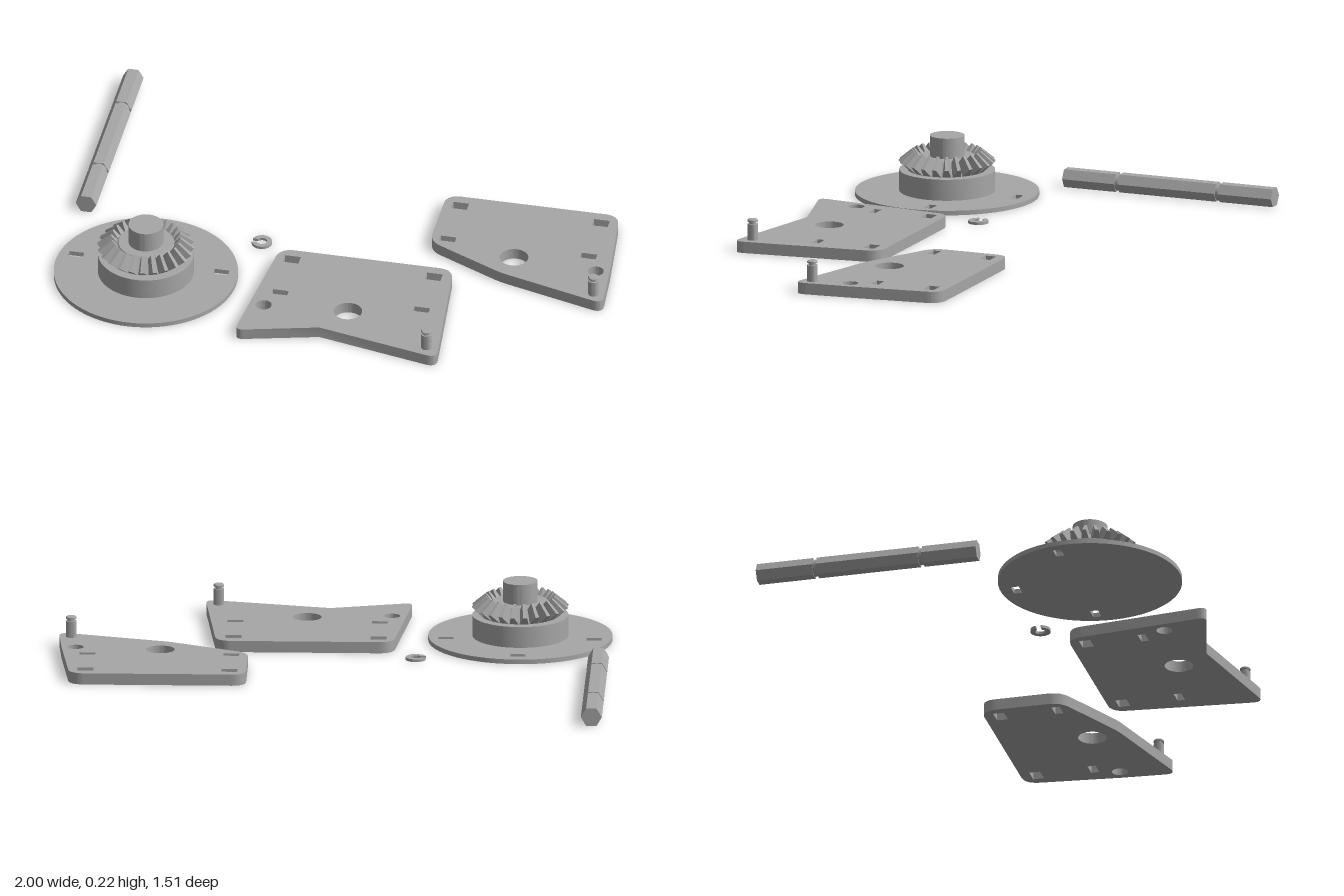
import * as THREE from 'three';
import { toCreasedNormals, mergeGeometries } from 'three/addons/utils/BufferGeometryUtils.js';
import { ConvexGeometry } from 'three/addons/geometries/ConvexGeometry.js';

const steel = new THREE.MeshStandardMaterial({ color: 0xa6a6a6 });
steel.name = 'grey steel';

function addMesh(parent, name, geometry) {
  const mesh = new THREE.Mesh(geometry, steel);
  mesh.name = name;
  parent.add(mesh);
  return mesh;
}

// Outline in the ground plane from [x, z, corner cut] entries
function roundedOutline(corners) {
  const pts = corners.map(([x, z]) => new THREE.Vector2(x, -z));
  const shape = new THREE.Shape();
  const n = pts.length;
  pts.forEach((p, i) => {
    const cut = corners[i][2];
    const toward = (q) => p.clone().add(q.clone().sub(p).setLength(cut));
    const a = toward(pts[(i + n - 1) % n]);
    const b = toward(pts[(i + 1) % n]);
    if (i === 0) shape.moveTo(a.x, a.y);
    else shape.lineTo(a.x, a.y);
    if (cut > 0) shape.quadraticCurveTo(p.x, p.y, b.x, b.y);
  });
  shape.closePath();
  return shape;
}

function rectHole(x, z, w, d) {
  return new THREE.Path([[-1, -1], [1, -1], [1, 1], [-1, 1]].map(
    ([i, j]) => new THREE.Vector2(x + i * w / 2, -z + j * d / 2)));
}

function roundHole(x, z, r) {
  return new THREE.Path().absarc(x, -z, r, 0, Math.PI * 2, true);
}

// Extrude a ground-plane shape upward
function slab(shape, height, curveSegments = 24) {
  const g = new THREE.ExtrudeGeometry(shape, { depth: height, bevelEnabled: false, curveSegments });
  return toCreasedNormals(g.rotateX(-Math.PI / 2), 0.6);
}

function lathe(profile, segments) {
  const pts = profile.map(([r, y]) => new THREE.Vector2(r, y));
  return toCreasedNormals(new THREE.LatheGeometry(pts, segments), 0.6);
}

// Side plate with slots, bores and a grooved pin
function sidePlate(name, corners, slots, bores, pin) {
  const group = new THREE.Group();
  group.name = name;
  const shape = roundedOutline(corners);
  slots.forEach((s) => shape.holes.push(rectHole(...s)));
  bores.forEach((b) => shape.holes.push(roundHole(...b)));
  addMesh(group, 'plate', slab(shape, 0.042));
  const post = addMesh(group, 'groovedPin', lathe([
    [0.019, 0.04], [0.019, 0.102], [0.013, 0.102], [0.013, 0.11],
    [0.019, 0.11], [0.019, 0.116], [0.016, 0.119], [0, 0.119]], 24));
  post.position.set(pin[0], 0, pin[1]);
  return group;
}

function bevelGear() {
  const group = new THREE.Group();
  group.name = 'gearTurntable';

  // Slotted base disc
  const disc = new THREE.Shape().absarc(0, 0, 0.334, 0, Math.PI * 2, false);
  disc.holes.push(rectHole(0, -0.275, 0.055, 0.03));
  [-1, 1].forEach((s) => disc.holes.push(rectHole(s * 0.269, -0.048, 0.055, 0.03)));
  addMesh(group, 'baseDisc', slab(disc, 0.017, 72));

  // Hub, root cone and shaft in one turned body
  addMesh(group, 'hubAndShaft', lathe([
    [0.174, 0.016], [0.174, 0.095], [0.143, 0.095], [0.106, 0.138], [0.1, 0.146],
    [0.063, 0.146], [0.063, 0.222], [0, 0.222]], 64));

  // Tapered teeth around the cone
  const section = (root, tip, wRoot, wTip) => [-1, 1].flatMap((s) => [
    new THREE.Vector3(root[0], root[1], s * wRoot),
    new THREE.Vector3(tip[0], tip[1], s * wTip)]);
  const tooth = new ConvexGeometry([
    ...section([0.14, 0.095], [0.176, 0.128], 0.0165, 0.007),
    ...section([0.1, 0.138], [0.126, 0.169], 0.0115, 0.005)]);
  const teeth = [];
  const count = 24;
  for (let i = 0; i < count; i++) {
    teeth.push(tooth.clone().rotateY((i + 0.5) * Math.PI * 2 / count));
  }
  addMesh(group, 'gearTeeth', mergeGeometries(teeth));
  group.position.set(-0.667, 0, 0.409);
  return group;
}

// Hexagonal axle with two retaining-ring grooves
function hexAxle() {
  const group = new THREE.Group();
  group.name = 'hexAxle';
  const w = 0.007;
  const grooves = [-0.54, -0.145];
  const edges = [-0.757, ...grooves.flatMap((z) => [z - w, z + w]), 0.066];
  for (let i = 0; i < edges.length - 1; i++) {
    const isGroove = i % 2 === 1;
    const length = edges[i + 1] - edges[i];
    const g = isGroove
      ? new THREE.CylinderGeometry(0.031, 0.031, length, 32)
      : toCreasedNormals(new THREE.CylinderGeometry(0.038, 0.038, length, 6), 0.5);
    if (!isGroove) g.rotateY(Math.PI / 6 + Math.PI / 3);
    g.rotateX(Math.PI / 2);
    const part = addMesh(group, isGroove ? 'ringGroove' : 'hexSection', g);
    part.position.z = (edges[i] + edges[i + 1]) / 2;
  }
  group.position.set(-0.962, 0.033, 0);
  return group;
}

// Open retaining ring with its mouth toward -x
function retainingRing() {
  const a = Math.PI - 0.27;
  const b = Math.PI - 0.5;
  const shape = new THREE.Shape();
  shape.absarc(0, 0, 0.037, -a, a, false);
  shape.absarc(0, 0, 0.019, b, -b, true);
  shape.closePath();
  const mesh = new THREE.Mesh(slab(shape, 0.01), steel);
  mesh.name = 'retainingRing';
  mesh.position.set(-0.297, 0, 0.128);
  return mesh;
}

export function createModel() {
  const model = new THREE.Group();
  model.name = 'gearKit';
  model.add(bevelGear(), hexAxle(), retainingRing());

  model.add(sidePlate('notchedPlate',
    [[-0.212, 0.206, 0.055], [-0.268, 0.742, 0.035], [0.03, 0.664, 0],
      [0.486, 0.763, 0.045], [0.43, 0.206, 0.055]],
    [[-0.157, 0.264, 0.058, 0.042], [0.369, 0.264, 0.058, 0.042],
      [-0.155, 0.476, 0.058, 0.028], [0.369, 0.476, 0.058, 0.028]],
    [[0.11, 0.541, 0.052], [-0.197, 0.566, 0.029]],
    [0.436, 0.705]));

  model.add(sidePlate('taperedPlate',
    [[0.308, -0.252, 0.055], [0.308, 0.046, 0.05], [0.6, 0.188, 0.03],
      [1.003, 0.302, 0.045], [0.987, 0.1, 0], [0.948, -0.252, 0.055]],
    [[0.369, -0.194, 0.058, 0.04], [0.891, -0.194, 0.058, 0.04],
      [0.369, 0.019, 0.058, 0.03], [0.891, 0.019, 0.058, 0.03]],
    [[0.628, 0.083, 0.052], [0.936, 0.107, 0.029]],
    [0.957, 0.247]));

  return model;
}
